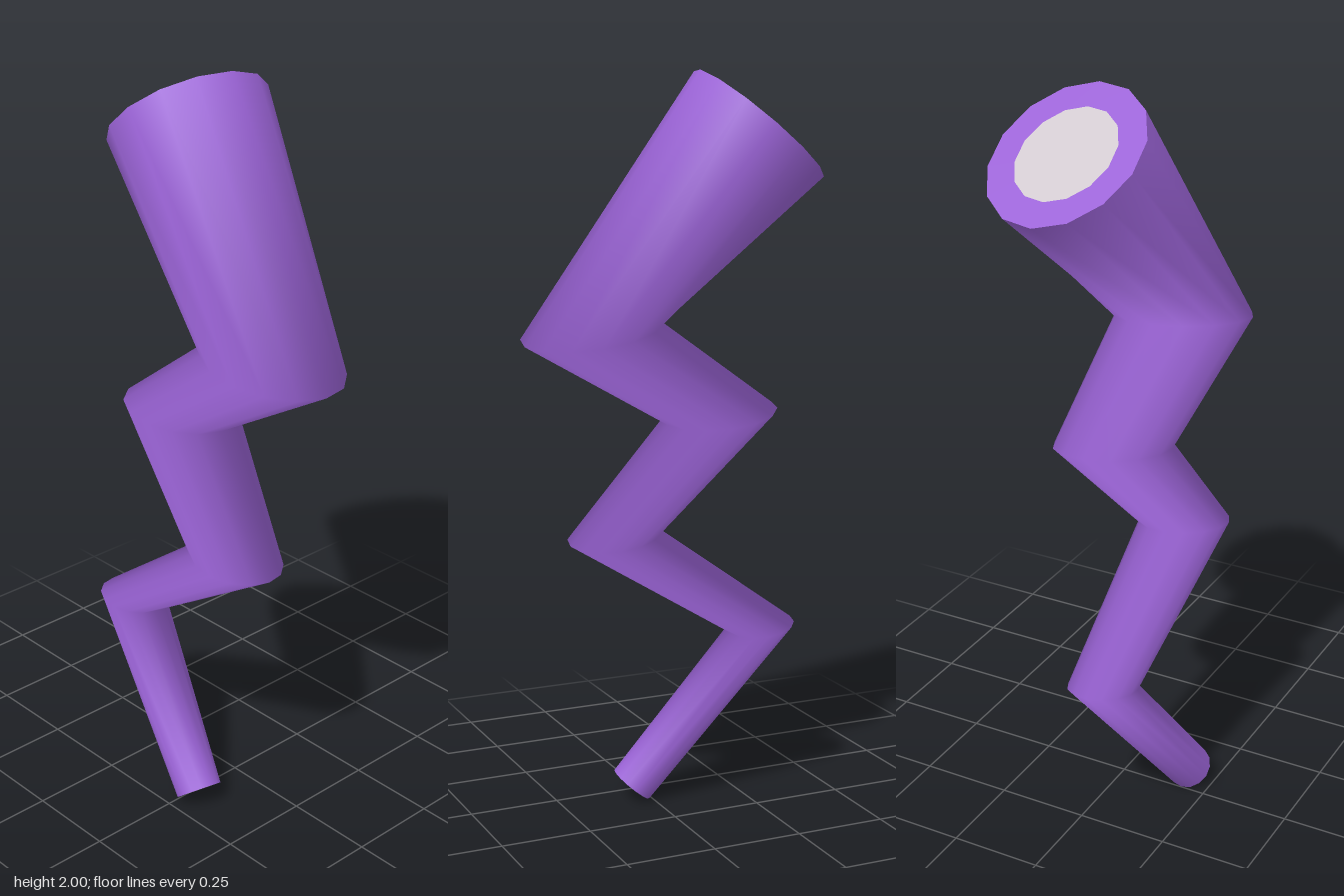
import * as THREE from 'three';

export function createModel() {
  const group = new THREE.Group();
  group.name = 'zigzagBolt';
  const purple = new THREE.MeshStandardMaterial({ color: 0x9c64d8 });
  purple.name = 'purple';
  const paleGrey = new THREE.MeshStandardMaterial({ color: 0xd2cad0 });
  paleGrey.name = 'pale grey';

  const SIDES = 14;
  // Centreline from the wide top to the narrow tip
  const path = [
    [-0.22, 1.865, -0.04], [0.21, 1.335, 0.065], [-0.155, 1.1, 0.05],
    [0.13, 0.775, 0.115], [-0.31, 0.482, 0.102], [0.05, 0.04, 0.183],
  ].map((p) => new THREE.Vector3(...p));
  const last = path.length - 1;
  const zAxis = new THREE.Vector3(0, 0, 1);
  const direction = (i) => path[i + 1].clone().sub(path[i]).normalize();

  // One circular ring per joint, square to the bisector of its two segments
  const rings = path.map((centre, i) => {
    const t = new THREE.Vector3();
    if (i > 0) t.add(direction(i - 1));
    if (i < last) t.add(direction(i));
    t.normalize();
    const u = t.clone().cross(zAxis).normalize();
    const v = t.clone().cross(u);
    return { centre, t, u, v, radius: THREE.MathUtils.lerp(0.216, 0.063, i / last) };
  });

  // Tapered, bent tube skinned over the rings
  const positions = [], normals = [], index = [];
  rings.forEach(({ centre, u, v, radius }, i) => {
    for (let j = 0; j <= SIDES; j++) {
      const a = (j / SIDES) * Math.PI * 2;
      const n = u.clone().multiplyScalar(Math.cos(a)).addScaledVector(v, Math.sin(a));
      normals.push(...n.toArray());
      positions.push(...centre.clone().addScaledVector(n, radius).toArray());
      if (i < last && j < SIDES) {
        const p = i * (SIDES + 1) + j, q = p + SIDES + 1;
        index.push(p, p + 1, q, p + 1, q + 1, q);
      }
    }
  });
  const tube = new THREE.BufferGeometry();
  tube.setAttribute('position', new THREE.Float32BufferAttribute(positions, 3));
  tube.setAttribute('normal', new THREE.Float32BufferAttribute(normals, 3));
  tube.setIndex(index);
  const body = new THREE.Mesh(tube, purple);
  body.name = 'body';
  group.add(body);

  // End caps: purple rim around a pale core
  function addCap(name, ring, sign) {
    const { centre, t, u, v, radius } = ring;
    const frame = new THREE.Matrix4()
      .makeBasis(u, v.clone().multiplyScalar(sign), t.clone().multiplyScalar(sign))
      .setPosition(centre);
    const inner = radius * 0.65;
    const parts = [
      ['Rim', new THREE.RingGeometry(inner, radius, SIDES), purple],
      ['Core', new THREE.CircleGeometry(inner, SIDES), paleGrey],
    ];
    for (const [part, geometry, material] of parts) {
      const mesh = new THREE.Mesh(geometry.applyMatrix4(frame), material);
      mesh.name = name + part;
      group.add(mesh);
    }
  }
  addCap('top', rings[0], -1);
  addCap('tip', rings[last], 1);

  return group;
}
